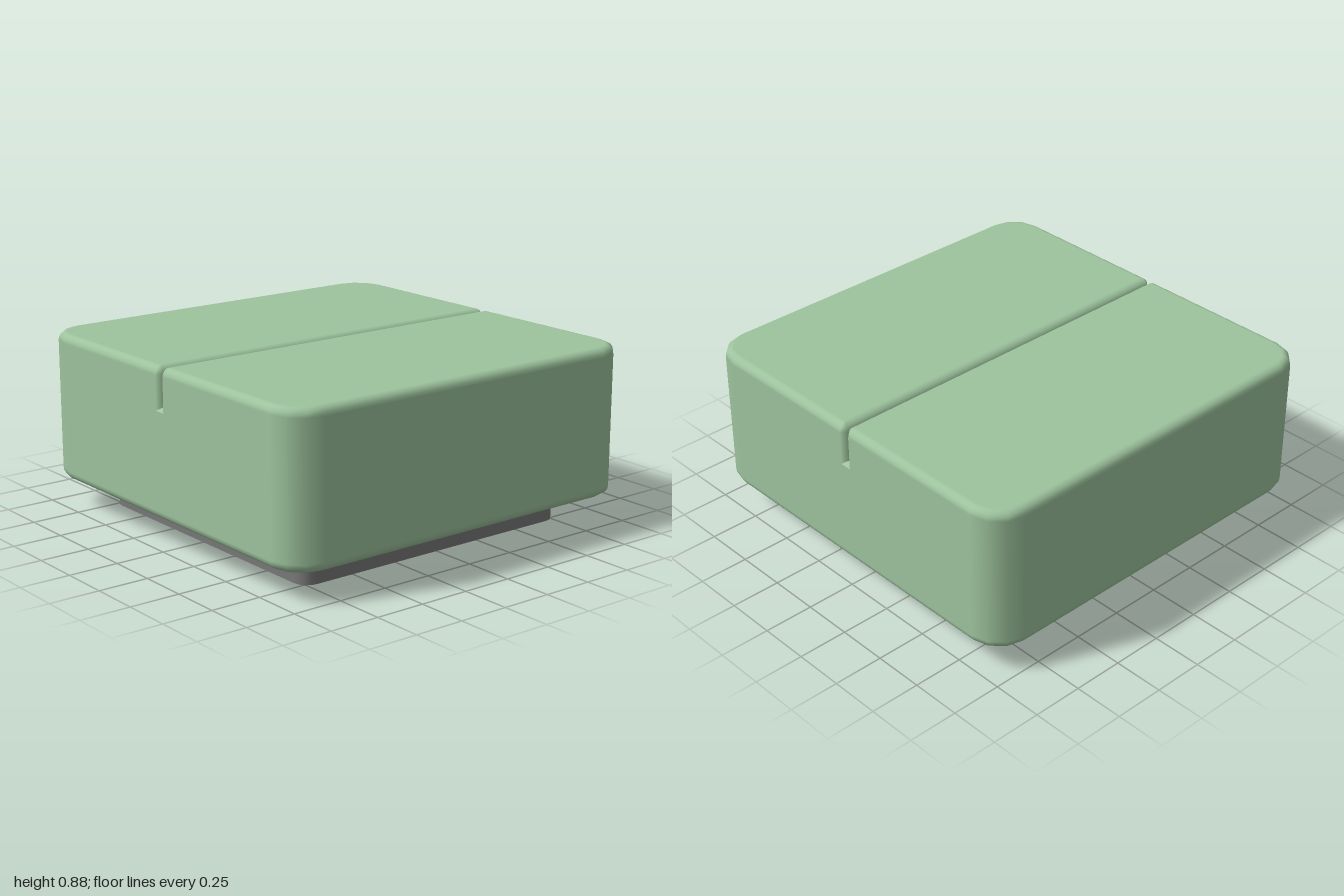
import * as THREE from 'three';

// Corner signs in loop order, each covering a quarter turn
const CORNERS = [[1, 1], [-1, 1], [-1, -1], [1, -1]];

// Lofts a rounded rectangle through rings of { y, inset, tilt }.
// radii and segs hold one value per corner; caps close the ends.
function loft({ x0, x1, z0, z1, radii, segs, rings, caps = true }) {
  const pos = [], nor = [], idx = [];
  const loops = rings.map(({ y, inset, tilt }) => {
    const loop = [];
    CORNERS.forEach(([sx, sz], c) => {
      const r = Math.max(radii[c], inset);
      const cx = sx > 0 ? x1 - r : x0 + r;
      const cz = sz > 0 ? z1 - r : z0 + r;
      for (let i = 0; i <= segs[c]; i++) {
        const a = (c + i / segs[c]) * Math.PI / 2;
        const nx = Math.cos(a), nz = Math.sin(a);
        loop.push([cx + nx * (r - inset), y, cz + nz * (r - inset)]);
        nor.push(nx * Math.cos(tilt), Math.sin(tilt), nz * Math.cos(tilt));
      }
    });
    loop.forEach(p => pos.push(...p));
    return loop;
  });
  const n = loops[0].length;
  for (let k = 0; k < loops.length - 1; k++) {
    for (let i = 0; i < n; i++) {
      const a = k * n + i, b = k * n + (i + 1) % n;
      idx.push(a, a + n, b, b, a + n, b + n);
    }
  }
  if (caps) {
    [[loops[0], -1], [loops[loops.length - 1], 1]].forEach(([loop, s]) => {
      const first = pos.length / 3;
      loop.forEach(p => { pos.push(...p); nor.push(0, s, 0); });
      for (let i = 1; i < n - 1; i++) {
        if (s > 0) idx.push(first, first + i + 1, first + i);
        else idx.push(first, first + i, first + i + 1);
      }
    });
  }
  const g = new THREE.BufferGeometry();
  g.setAttribute('position', new THREE.Float32BufferAttribute(pos, 3));
  g.setAttribute('normal', new THREE.Float32BufferAttribute(nor, 3));
  g.setIndex(idx);
  return g;
}

// Quarter-round edge; dir is 1 for a top edge and -1 for a bottom edge
function roundedEdge(yEnd, size, dir) {
  const rings = [];
  for (let i = 0; i <= 4; i++) {
    const t = (i / 4) * Math.PI / 2;
    rings.push({ y: yEnd - dir * size * (1 - Math.sin(t)), inset: size * (1 - Math.cos(t)), tilt: dir * t });
  }
  return dir > 0 ? rings : rings.reverse();
}

export function createModel() {
  const group = new THREE.Group();
  const fabric = new THREE.MeshStandardMaterial({ color: 0x9dc39d });
  const fabricThin = new THREE.MeshStandardMaterial({ color: 0x9dc39d, side: THREE.DoubleSide });
  const plinth = new THREE.MeshStandardMaterial({ color: 0x777777, side: THREE.DoubleSide });
  const add = (name, geometry, material) => {
    const mesh = new THREE.Mesh(geometry, material);
    mesh.name = name;
    group.add(mesh);
  };

  const bottom = 0.145, seam = 0.67, top = 0.88, R = 0.17, notch = 0.03;

  // Lower upholstered block
  add('seatBody', loft({
    x0: -1, x1: 1, z0: -1, z1: 1,
    radii: [R, R, R, R], segs: [3, 3, 3, 3],
    rings: [...roundedEdge(bottom, 0.045, -1), { y: seam, inset: 0, tilt: 0 }],
  }), fabric);

  // Two cushion halves meeting at the centre groove
  const cushionRings = [{ y: seam, inset: 0, tilt: 0 }, ...roundedEdge(top, 0.042, 1)];
  add('frontCushion', loft({
    x0: -1, x1: 1, z0: 0, z1: 1,
    radii: [R, R, notch, notch], segs: [3, 3, 1, 1], rings: cushionRings,
  }), fabric);
  add('backCushion', loft({
    x0: -1, x1: 1, z0: -1, z1: 0,
    radii: [notch, notch, R, R], segs: [1, 1, 3, 3], rings: cushionRings,
  }), fabric);

  // Small sloped floor at each end of the groove
  for (const s of [1, -1]) {
    const g = new THREE.BufferGeometry();
    g.setAttribute('position', new THREE.Float32BufferAttribute([
      s, seam, s * notch, s, seam, -s * notch, s * (1 - notch), seam + 0.022, 0,
    ], 3));
    g.computeVertexNormals();
    add(s > 0 ? 'leftGrooveFloor' : 'rightGrooveFloor', g, fabricThin);
  }

  // Thin recessed plinth, open underneath
  add('plinthRing', loft({
    x0: -0.775, x1: 0.775, z0: -0.775, z1: 0.775,
    radii: [0.07, 0.07, 0.07, 0.07], segs: [4, 4, 4, 4], caps: false,
    rings: [{ y: 0, inset: 0, tilt: 0 }, { y: bottom + 0.005, inset: 0, tilt: 0 }],
  }), plinth);

  return group;
}
